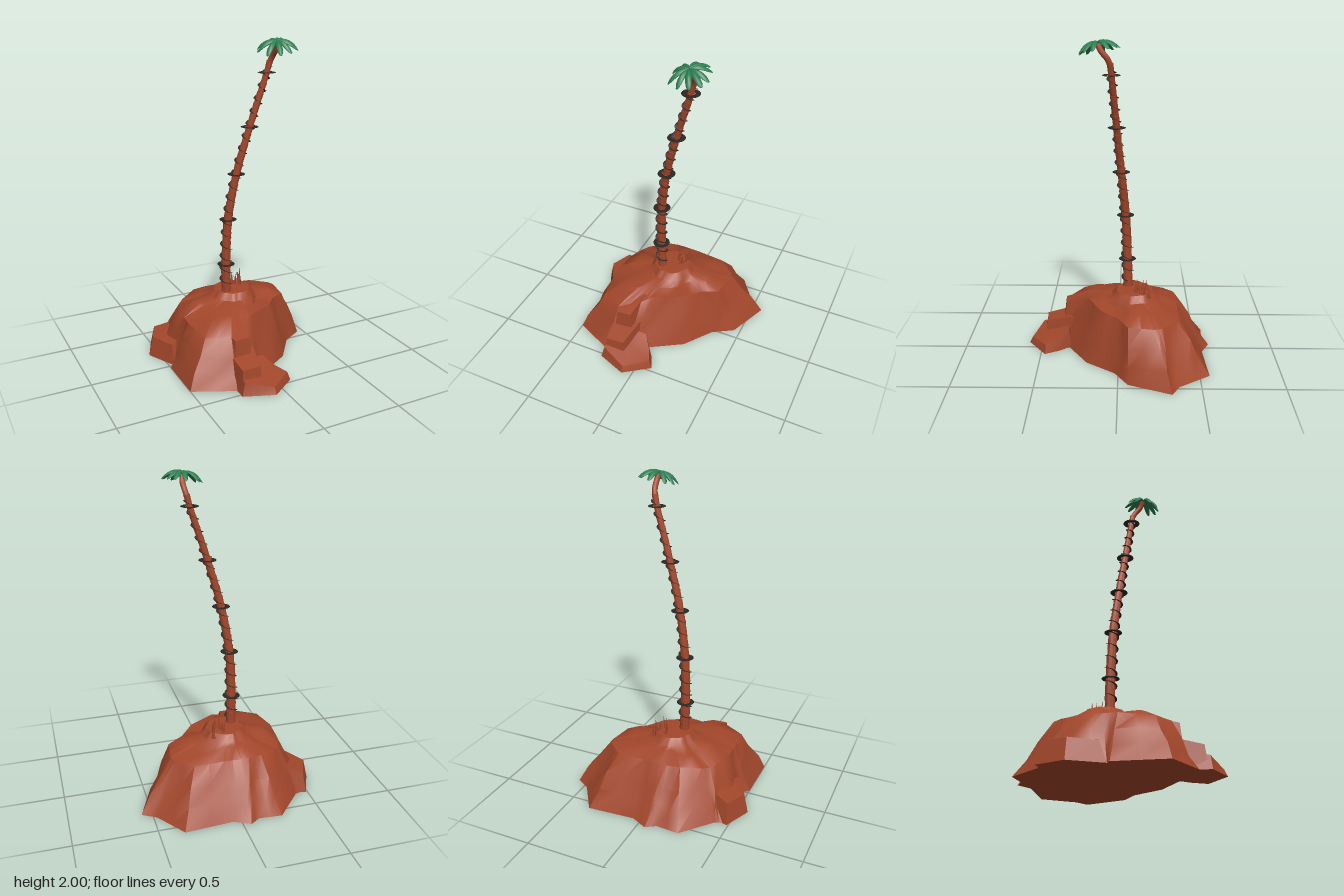
import * as THREE from 'three';
import { mergeGeometries, toCreasedNormals } from 'three/addons/utils/BufferGeometryUtils.js';

const material = (name, color, side = THREE.FrontSide) => {
  const m = new THREE.MeshStandardMaterial({ color, side });
  m.name = name;
  return m;
};

const V = (x, y, z) => new THREE.Vector3(x, y, z);
const UP = V(0, 1, 0);

// Loft closed rings of equal length (ordered clockwise from above, bottom to top)
function loft(rings, crease) {
  const pos = [];
  const put = (...ps) => ps.forEach(p => pos.push(p.x, p.y, p.z));
  for (let r = 0; r < rings.length - 1; r++) {
    const a = rings[r], b = rings[r + 1];
    for (let i = 0; i < a.length; i++) {
      const j = (i + 1) % a.length;
      put(a[i], b[i], a[j], b[i], b[j], a[j]);
    }
  }
  const g = new THREE.BufferGeometry();
  g.setAttribute('position', new THREE.Float32BufferAttribute(pos, 3));
  return toCreasedNormals(g, crease);
}

// Rock block: base outline [x, z], pulled in to a top at the given heights
function lump(outline, heights, shrink) {
  const n = outline.length;
  const cx = outline.reduce((s, p) => s + p[0], 0) / n;
  const cz = outline.reduce((s, p) => s + p[1], 0) / n;
  const base = outline.map(p => V(p[0], 0, p[1]));
  const top = outline.map((p, i) => V(cx + (p[0] - cx) * shrink, heights[i], cz + (p[1] - cz) * shrink));
  const mean = heights.reduce((s, h) => s + h, 0) / n;
  return loft([base.map(() => V(cx, 0, cz)), base, top, top.map(() => V(cx, mean, cz))], 0.6);
}

// Foot x, z and shoulder x, z, y around the mound
const MOUND = [
  [-0.05, -0.59, -0.05, -0.375, 0.32], [0.05, -0.54, 0.06, -0.37, 0.32],
  [0.35, -0.56, 0.24, -0.36, 0.31], [0.48, -0.37, 0.34, -0.27, 0.31],
  [0.565, -0.32, 0.355, -0.22, 0.31], [0.46, -0.06, 0.33, -0.06, 0.31],
  [0.33, 0.02, 0.23, 0.00, 0.32], [0.20, 0.20, 0.14, 0.11, 0.33],
  [-0.01, 0.33, -0.02, 0.19, 0.34], [-0.14, 0.42, -0.10, 0.24, 0.30],
  [-0.25, 0.45, -0.22, 0.31, 0.28], [-0.50, 0.335, -0.36, 0.24, 0.27],
  [-0.50, 0.02, -0.385, 0.04, 0.29], [-0.465, 0.00, -0.38, -0.04, 0.29],
  [-0.50, -0.195, -0.37, -0.15, 0.29], [-0.46, -0.36, -0.33, -0.25, 0.29],
  [-0.42, -0.37, -0.29, -0.29, 0.30], [-0.255, -0.56, -0.18, -0.36, 0.32],
  [-0.11, -0.55, -0.10, -0.375, 0.32],
];

function moundGeometry() {
  const c = V(-0.02, 0, -0.1);
  // Double the columns so the slopes can be roughened
  const rows = MOUND.flatMap((p, i) => {
    const q = MOUND[(i + 1) % MOUND.length];
    return [p, p.map((v, k) => (v + q[k]) / 2)];
  });
  const foot = rows.map(p => V(p[0], 0, p[1]));
  const shoulder = rows.map(p => V(p[2], p[4], p[3]));
  const slope = (t, seed) => foot.map((p, i) => p.clone()
    .lerp(shoulder[i], t + 0.06 * Math.sin(i * 1.9 + seed))
    .setY(shoulder[i].y * (t + 0.05 * Math.cos(i * 1.3 + seed * 2))));
  const shelf = shoulder.map((p, i) => p.clone().lerp(c, 0.34 + 0.07 * Math.sin(i * 1.1))
    .setY(0.348 + 0.012 * Math.cos(i * 0.7)));
  const circle = (r, y) => shoulder.map((p, i) => {
    const d = p.clone().sub(c).setY(0).setLength(r * (1 + 0.04 * Math.sin(i * 1.4)));
    return d.add(c).setY(y);
  });
  return loft([foot.map(() => c), foot, slope(0.32, 1), slope(0.64, 4), shoulder, shelf,
    circle(0.145, 0.37), circle(0.113, 0.41), foot.map(() => V(c.x, 0.415, c.z))], 0.7);
}

// Trunk line and its taper
const trunkCurve = new THREE.CatmullRomCurve3([
  V(-0.076, 0.36, -0.06), V(-0.081, 0.6, -0.055), V(-0.07, 0.9, -0.042), V(-0.024, 1.19, -0.015),
  V(0.053, 1.48, 0.012), V(0.15, 1.8, 0.04), V(0.164, 1.86, 0.046),
]);
const trunkRadius = t => 0.031 - 0.013 * t;

// Find the trunk parameter at a given height
function paramAt(y) {
  let lo = 0, hi = 1;
  for (let i = 0; i < 24; i++) {
    const m = (lo + hi) / 2;
    if (trunkCurve.getPointAt(m).y < y) lo = m; else hi = m;
  }
  return lo;
}

function trunkGeometry() {
  const parts = [], n = 24;
  for (let i = 0; i < n; i++) {
    const a = trunkCurve.getPointAt(i / n), b = trunkCurve.getPointAt((i + 1) / n);
    const d = b.clone().sub(a), r = trunkRadius(i / n);
    const g = new THREE.CylinderGeometry(r * 1.04, r * 0.93, d.length() * 1.06, 10);
    g.applyQuaternion(new THREE.Quaternion().setFromUnitVectors(UP, d.normalize()));
    const m = a.add(b).multiplyScalar(0.5);
    parts.push(g.translate(m.x, m.y, m.z));
  }
  return toCreasedNormals(mergeGeometries(parts), 0.4);
}

// Flat ribbon winding up the trunk, level across its width
function vineGeometry() {
  const pos = [], index = [], steps = 432, turns = 18;
  for (let i = 0; i <= steps; i++) {
    const u = 0.06 + 0.92 * i / steps, a = (i / steps) * turns * Math.PI * 2;
    const p = trunkCurve.getPointAt(u), r = trunkRadius(u);
    for (const k of [r - 0.003, r + 0.012])
      pos.push(p.x + Math.cos(a) * k, p.y, p.z + Math.sin(a) * k);
    if (i < steps) index.push(2 * i, 2 * i + 2, 2 * i + 1, 2 * i + 1, 2 * i + 2, 2 * i + 3);
  }
  const g = new THREE.BufferGeometry();
  g.setAttribute('position', new THREE.Float32BufferAttribute(pos, 3));
  g.setIndex(index);
  g.computeVertexNormals();
  return g;
}

// Blunt leaf along +x, level at first and bending down at the tip
function frondGeometry(length, droop) {
  const g = new THREE.SphereGeometry(1, 16, 10);
  const p = g.attributes.position;
  for (let i = 0; i < p.count; i++) {
    const x = p.getX(i), s = (x + 1) / 2;
    const z = p.getZ(i) * 0.0165 * (0.8 + 0.5 * s);
    p.setXYZ(i, s * length, p.getY(i) * 0.009 + 0.015 * s - droop * s ** 2.4 - Math.abs(z) * 0.35, z);
  }
  g.computeVertexNormals();
  return g;
}

export function createModel() {
  const model = new THREE.Group();
  model.name = 'palmOnRock';
  const redRock = material('redBrown', 0xa2472b);
  const dark = material('darkVine', 0x2e2725, THREE.DoubleSide);
  const green = material('leafGreen', 0x2c7d52);
  const add = (name, geometry, mat, parent = model) => {
    const mesh = new THREE.Mesh(geometry, mat);
    mesh.name = name;
    parent.add(mesh);
    return mesh;
  };

  // Rock mound with its stepped outcrops
  add('mound', moundGeometry(), redRock);
  add('frontFoot', lump([[-0.01, 0.31], [0.05, 0.385], [0.095, 0.475], [-0.065, 0.59], [-0.25, 0.52], [-0.25, 0.31]],
    [0.12, 0.07, 0.055, 0.04, 0.08, 0.13], 0.88), redRock);
  add('frontStep', lump([[-0.05, 0.26], [-0.10, 0.49], [-0.24, 0.50], [-0.26, 0.26]],
    [0.19, 0.14, 0.14, 0.19], 0.84), redRock);
  add('frontPillar', lump([[-0.05, 0.15], [-0.10, 0.375], [-0.23, 0.385], [-0.28, 0.15]],
    [0.33, 0.27, 0.27, 0.30], 0.72), redRock);
  add('rightLedge', lump([[-0.34, -0.05], [-0.47, 0.0], [-0.565, -0.195], [-0.49, -0.37], [-0.34, -0.32]],
    [0.16, 0.12, 0.125, 0.125, 0.16], 0.78), redRock);

  // Dry grass spikes beside the trunk
  const grass = new THREE.Group();
  grass.name = 'grassSpikes';
  model.add(grass);
  for (let i = 0; i < 8; i++) {
    const h = 0.08 + 0.035 * Math.abs(Math.sin(i * 2.2));
    const spike = add('spike', new THREE.ConeGeometry(0.013, h, 5), redRock, grass);
    spike.position.set(0.035 + 0.035 * Math.sin(i * 2.9), 0.385 + h / 2, -0.1 - 0.013 * i);
    spike.rotation.set(0.12 * Math.sin(i), 0, 0.12 * Math.cos(i * 1.9));
  }

  // Trunk and its bent neck
  add('trunk', trunkGeometry(), redRock);
  const neck = new THREE.CatmullRomCurve3([V(0.162, 1.85, 0.045), V(0.172, 1.89, 0.062),
    V(0.176, 1.93, 0.095), V(0.168, 1.975, 0.117)]);
  add('neck', new THREE.TubeGeometry(neck, 10, 0.017, 10), redRock);

  // Spiral vine and flat collars
  add('vine', vineGeometry(), dark);
  for (const y of [0.595, 0.893, 1.184, 1.474, 1.795]) {
    const collar = add('collar', new THREE.TorusGeometry(0.039, 0.015, 6, 28), dark);
    collar.rotation.x = Math.PI / 2;
    collar.scale.z = 0.2;
    collar.position.copy(trunkCurve.getPointAt(paramAt(y)));
  }

  // Crown of leaves, tipped to one side
  const crown = new THREE.Group();
  crown.name = 'crown';
  crown.position.set(0.168, 1.98, 0.117);
  crown.rotation.set(0.17, 0, 0.14);
  model.add(crown);
  [-88, -58, -32, 14, 40, 72, 106, 143, 190, 222].forEach((deg, i) => {
    const frond = add('frond', frondGeometry(0.122 + 0.006 * Math.sin(i * 2), 0.068), green, crown);
    frond.rotation.y = -deg * Math.PI / 180;
  });
  return model;
}
